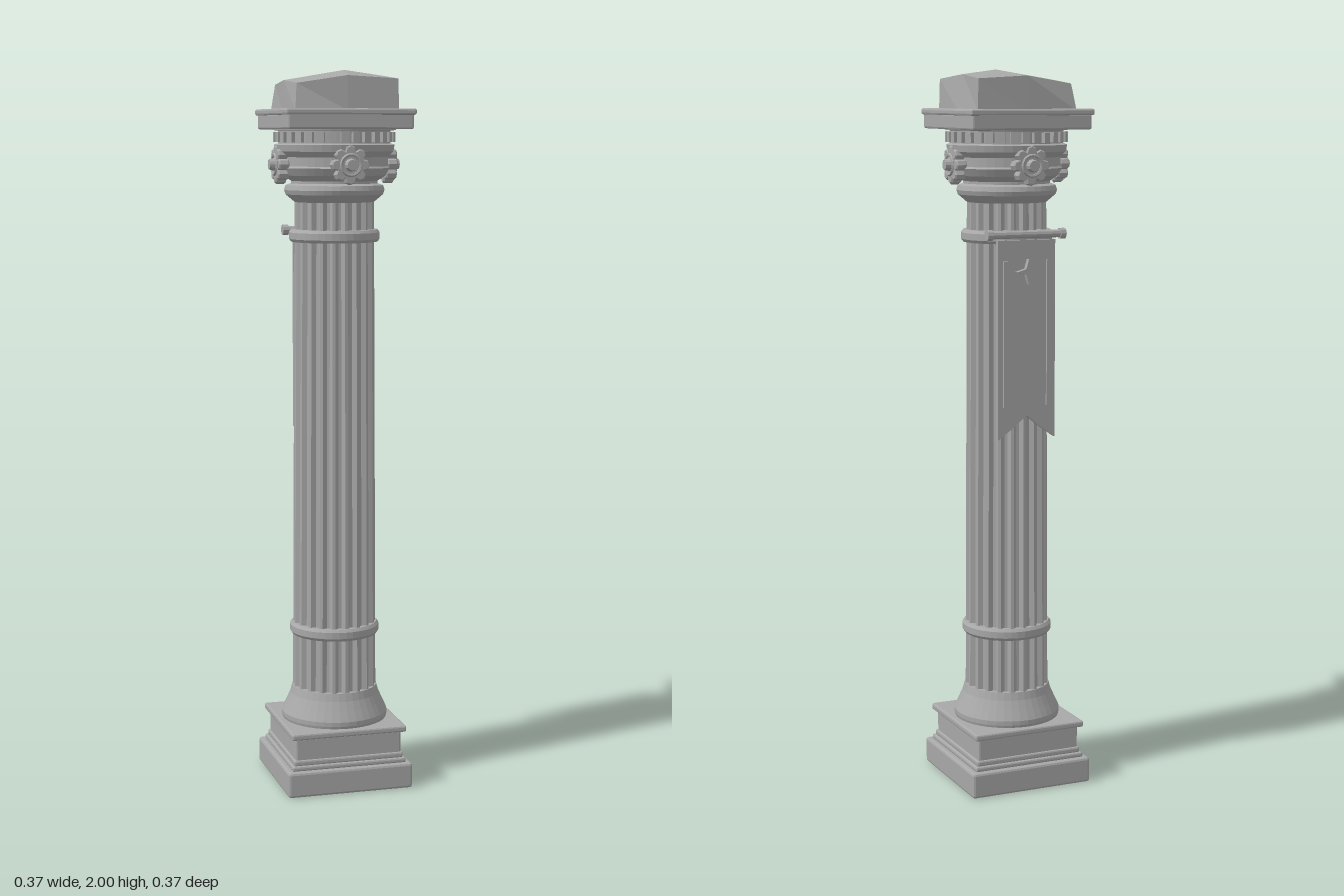
import * as THREE from 'three';
import { RoundedBoxGeometry } from 'three/addons/geometries/RoundedBoxGeometry.js';

export function createModel() {
  const model = new THREE.Group();
  model.name = 'column';
  const stone = new THREE.MeshStandardMaterial({ color: 0xa8a8a8 });
  stone.name = 'grey stone';
  stone.flatShading = true;

  const add = (name, geometry, x = 0, y = 0, z = 0, parent = model) => {
    const mesh = new THREE.Mesh(geometry, stone);
    mesh.name = name;
    mesh.position.set(x, y, z);
    parent.add(mesh);
    return mesh;
  };
  // Square slab between two heights
  const slab = (name, half, y0, y1, bevel = 0.005) =>
    add(name, new RoundedBoxGeometry(half * 2, y1 - y0, half * 2, 1, bevel), 0, (y0 + y1) / 2);
  const lathe = (name, points) =>
    add(name, new THREE.LatheGeometry(points.map(p => new THREE.Vector2(...p)), 40));

  // Square base
  slab('plinth', 0.18, 0, 0.072, 0.007);
  slab('lowerBaseMoulding', 0.165, 0.07, 0.085);
  slab('lowerBaseStep', 0.158, 0.083, 0.1);
  slab('baseBlock', 0.153, 0.095, 0.162);
  slab('upperBaseMoulding', 0.166, 0.16, 0.178);
  lathe('baseBell', [[0, 0.17], [0.146, 0.17], [0.15, 0.185], [0.15, 0.197], [0.145, 0.208],
    [0.137, 0.225], [0.126, 0.25], [0.12, 0.272], [0, 0.272]]);

  // Fluted, slightly tapering shaft: two rim points then two groove points per flute
  const flutes = 20, sides = flutes * 4;
  const shaft = new THREE.CylinderGeometry(0.11, 0.118, 1.4, sides, 1);
  const p = shaft.attributes.position;
  for (let i = 0; i < p.count; i++) {
    const x = p.getX(i), z = p.getZ(i);
    if (Math.hypot(x, z) < 0.01) continue;
    const step = Math.round((Math.atan2(x, z) / (2 * Math.PI)) * sides + sides) % 4;
    const k = step < 2 ? 1 : 0.9;
    p.setXYZ(i, x * k, p.getY(i), z * k);
  }
  add('flutedShaft', shaft, 0, 0.95, 0);

  // Rings around the shaft
  for (const y of [0.44, 1.55]) {
    lathe('shaftRing', [[0.1, y - 0.017], [0.12, y - 0.017], [0.126, y - 0.009],
      [0.126, y + 0.009], [0.12, y + 0.017], [0.1, y + 0.017]]);
  }

  // Round capital
  lathe('capitalBell', [[0, 1.64], [0.11, 1.642], [0.135, 1.663], [0.139, 1.675], [0.135, 1.688],
    [0.12, 1.693], [0.12, 1.7], [0.142, 1.715], [0.153, 1.735], [0.148, 1.74], [0.148, 1.765],
    [0.163, 1.78], [0.166, 1.798], [0.155, 1.802], [0.155, 1.836], [0.17, 1.838], [0.172, 1.85], [0, 1.85]]);
  for (let i = 0; i < 32; i++) {
    const a = ((i + 0.5) / 32) * Math.PI * 2;
    const dentil = add('dentil', new THREE.BoxGeometry(0.019, 0.028, 0.016),
      Math.sin(a) * 0.16, 1.819, Math.cos(a) * 0.16);
    dentil.rotation.y = a;
  }

  // Four flower rosettes
  const flower = new THREE.Shape();
  for (let i = 0; i < 32; i++) {
    const a = (i / 32) * Math.PI * 2;
    const r = [0.05, 0.047, 0.035, 0.047][i % 4];
    flower[i ? 'lineTo' : 'moveTo'](Math.cos(a) * r, Math.sin(a) * r);
  }
  const petals = new THREE.ExtrudeGeometry(flower, {
    depth: 0.022, bevelThickness: 0.004, bevelSize: 0.003, bevelSegments: 1 });
  for (let i = 0; i < 4; i++) {
    const rosette = new THREE.Group();
    rosette.name = 'rosette';
    rosette.rotation.y = i * Math.PI / 2;
    model.add(rosette);
    add('petals', petals, 0, 1.745, 0.143, rosette);
    const rim = add('rosetteRim', new THREE.TorusGeometry(0.027, 0.005, 5, 20), 0, 1.745, 0.17, rosette);
    rim.scale.z = 0.9;
    const button = add('rosetteButton', new THREE.CylinderGeometry(0.014, 0.018, 0.018, 12), 0, 1.745, 0.176, rosette);
    button.rotation.x = Math.PI / 2;
  }

  // Square abacus
  slab('abacus', 0.175, 1.84, 1.882);
  slab('abacusLip', 0.181, 1.878, 1.895);

  // Rough faceted cap stone: foot ring, upper ring and peak
  const foot = [[-0.145, -0.139], [0, -0.139], [0.144, -0.139], [0.144, 0],
    [0.144, 0.136], [0, 0.136], [-0.145, 0.136], [-0.146, 0]].map(([x, z]) => [x, 1.89, z]);
  const brow = [[-0.137, 1.962, -0.121], [0, 1.983, -0.138], [0.142, 1.975, -0.136], [0.13, 1.987, 0],
    [0.142, 1.975, 0.134], [0, 1.983, 0.134], [-0.137, 1.962, 0.118], [-0.143, 1.972, 0]];
  const peak = [0.022, 2, 0.022];
  const tris = [];
  for (let i = 0; i < 8; i++) {
    const j = (i + 1) % 8;
    tris.push(foot[i], brow[i], brow[j], foot[i], brow[j], foot[j], brow[i], peak, brow[j]);
  }
  const cap = new THREE.BufferGeometry();
  cap.setAttribute('position', new THREE.Float32BufferAttribute(tris.flat(), 3));
  cap.computeVertexNormals();
  add('capStone', cap);

  // Swallow-tailed banner hanging at the back
  const banner = new THREE.Group();
  banner.name = 'banner';
  model.add(banner);
  const cloth = new THREE.Shape([[-0.085, 1.545], [-0.085, 1.0], [-0.035, 1.035], [0, 1.065],
    [0.035, 1.035], [0.085, 1.0], [0.085, 1.545]].map(q => new THREE.Vector2(...q)));
  add('cloth', new THREE.ExtrudeGeometry(cloth, { depth: 0.014, bevelEnabled: false }), 0, 0, -0.135, banner);
  const rod = add('bannerRod', new THREE.CylinderGeometry(0.011, 0.011, 0.22, 10), 0, 1.56, -0.128, banner);
  rod.rotation.z = Math.PI / 2;
  for (const s of [-1, 1]) {
    const knob = add('rodEnd', new THREE.CylinderGeometry(0.015, 0.015, 0.016, 10), s * 0.108, 1.56, -0.128, banner);
    knob.rotation.z = Math.PI / 2;
    add('bannerStripe', new THREE.BoxGeometry(0.012, 0.4, 0.008), s * 0.064, 1.29, -0.137, banner);
    add('rodBracket', new THREE.BoxGeometry(0.014, 0.02, 0.04), s * 0.05, 1.56, -0.112, banner);
  }

  // Four-pointed star on the banner
  const star = new THREE.Shape();
  for (let i = 0; i < 8; i++) {
    const a = (i / 8) * Math.PI * 2, r = i % 2 ? 0.011 : 0.034;
    star[i ? 'lineTo' : 'moveTo'](Math.cos(a) * r, Math.sin(a) * r);
  }
  add('bannerStar', new THREE.ExtrudeGeometry(star, { depth: 0.016, bevelEnabled: false }), 0, 1.46, -0.15, banner);

  return model;
}
